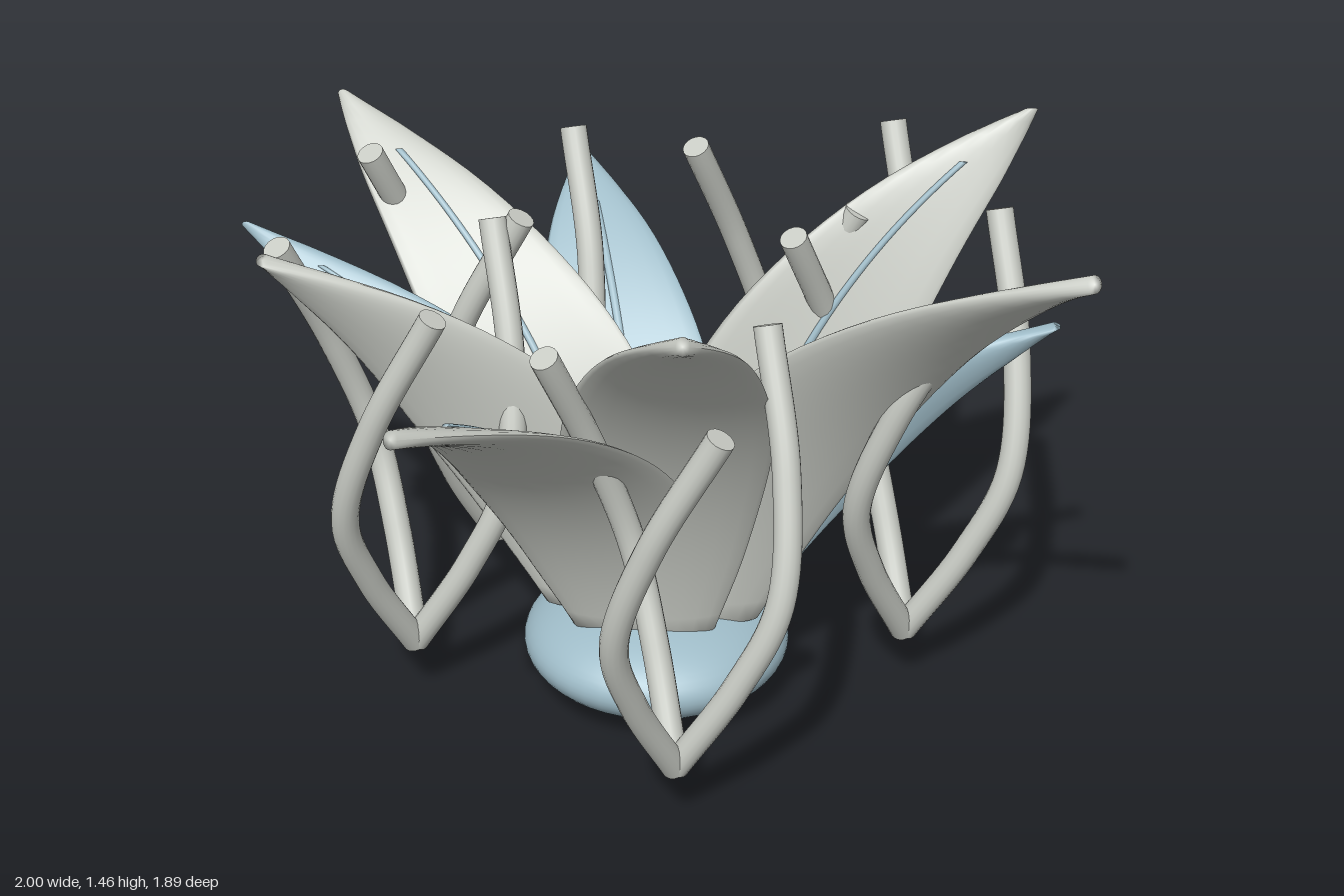
import * as THREE from 'three';
import { mergeGeometries } from 'three/addons/utils/BufferGeometryUtils.js';

const V = (x, y, z) => new THREE.Vector3(x, y, z);
const CENTRE = V(0.035, 0.135, -0.045);

// Leaf half-width along its length: [t, halfWidth]
const PROFILE = [[0, 0.13], [0.15, 0.195], [0.35, 0.24], [0.5, 0.235], [0.65, 0.2], [0.8, 0.145], [0.92, 0.075], [1, 0.015]];
const profileCurve = new THREE.SplineCurve(PROFILE.map(([t, w]) => new THREE.Vector2(t, w)));
const profilePoints = profileCurve.getPoints(120);
function leafWidth(t) {
  const i = profilePoints.findIndex((p) => p.x >= t);
  if (i < 1) return PROFILE[0][1];
  const a = profilePoints[i - 1], b = profilePoints[i];
  return a.y + (b.y - a.y) * (t - a.x) / (b.x - a.x);
}

// Sweeps a flattened oval along a curve; its wide axis always lies along x
function sweep(curve, { width, thick, lift = 0, cup = 0, t0 = 0, t1 = 1, rows = 28, sides = 20 }) {
  const X = V(1, 0, 0), positions = [], index = [];
  for (let i = -1; i <= rows + 1; i++) {
    const f = Math.min(Math.max(i / rows, 0), 1);
    const t = t0 + (t1 - t0) * f;
    const closed = i < 0 || i > rows ? 0 : 1; // end rings shrink to close the form
    const p = curve.getPoint(t);
    const N = curve.getTangent(t).cross(X).normalize();
    const w = width(t);
    for (let j = 0; j <= sides; j++) {
      const a = (j / sides) * Math.PI * 2;
      const x = Math.cos(a) * w * closed;
      const n = Math.sin(a) * thick * closed + lift + cup * (x / 0.24) ** 2;
      positions.push(p.x + x + N.x * n, p.y + N.y * n, p.z + N.z * n);
    }
  }
  const s = sides + 1;
  for (let i = 0; i < rows + 2; i++) {
    for (let j = 0; j < sides; j++) {
      const a = i * s + j;
      index.push(a, a + 1, a + s, a + 1, a + s + 1, a + s);
    }
  }
  const g = new THREE.BufferGeometry();
  g.setAttribute('position', new THREE.Float32BufferAttribute(positions, 3));
  g.setIndex(index);
  g.computeVertexNormals();
  return g;
}

// Leaf with a raised midrib on its upper side
function makeLeaf([x, y, z], scale, material, ribMaterial) {
  const tip = V(x, y, z);
  const out = V(x - CENTRE.x, 0, z - CENTRE.z).normalize();
  const start = V(CENTRE.x, 0.23, CENTRE.z).addScaledVector(out, 0.14);
  const span = tip.clone().sub(start);
  const bend = start.clone().add(V(span.x * 0.19, span.y * 0.69, span.z * 0.19));
  const curve = new THREE.QuadraticBezierCurve3(start, bend, tip);
  const side = z - CENTRE.z < -0.02 ? -1 : 1;

  const leaf = new THREE.Group();
  leaf.name = 'leaf';
  const blade = new THREE.Mesh(sweep(curve, {
    width: (t) => leafWidth(t) * scale, thick: 0.021, cup: 0.025 * side,
  }), material);
  blade.name = 'leafBlade';
  const rib = new THREE.Mesh(sweep(curve, {
    width: () => 0.01, thick: 0.006, lift: 0.022 * side, t0: 0.12, t1: 0.86, sides: 8,
  }), ribMaterial);
  rib.name = 'leafMidrib';
  leaf.add(blade, rib);
  return leaf;
}

// Curling stalk: tube with capped ends
function makeStalkGeometry() {
  const curve = new THREE.CatmullRomCurve3([
    V(0, 0.16, 0), V(-0.09, 0.4, 0.11), V(-0.13, 0.62, 0.195), V(-0.05, 0.9, 0.25), V(0.1, 1.2, 0.28),
  ]);
  const radius = 0.033;
  const parts = [new THREE.TubeGeometry(curve, 40, radius, 16)];
  for (const [t, sign] of [[0, -1], [1, 1]]) {
    const cap = new THREE.CircleGeometry(radius, 16);
    const dir = curve.getTangent(t).multiplyScalar(sign);
    cap.applyQuaternion(new THREE.Quaternion().setFromUnitVectors(V(0, 0, 1), dir));
    const p = curve.getPoint(t);
    cap.translate(p.x, p.y, p.z);
    parts.push(cap);
  }
  return mergeGeometries(parts);
}

export function createModel() {
  const model = new THREE.Group();
  model.name = 'plant';
  const grey = new THREE.MeshStandardMaterial({ color: 0xc9ccc5 });
  grey.name = 'paleGrey';
  const blue = new THREE.MeshStandardMaterial({ color: 0x9fbcc8 });
  blue.name = 'dustyBlue';

  // Flattened round base
  const base = new THREE.Mesh(new THREE.SphereGeometry(1, 48, 32), blue);
  base.name = 'base';
  base.scale.set(0.325, 0.131, 0.325);
  base.position.copy(CENTRE);
  model.add(base);

  // Ring of small nubs under the base
  const nubGeometry = new THREE.CylinderGeometry(0.012, 0.012, 0.03, 8);
  for (let i = 0; i < 10; i++) {
    const a = (i / 10) * Math.PI * 2;
    const nub = new THREE.Mesh(nubGeometry, blue);
    nub.name = 'baseNub';
    nub.position.set(CENTRE.x + Math.cos(a) * 0.13, 0.015, CENTRE.z + Math.sin(a) * 0.13);
    model.add(nub);
  }

  // Tall grey leaves and lower blue leaves, given by their tips
  const greyTips = [
    [-0.48, 1.24, 0.93], [0.12, 1.44, 0.87], [0.98, 1.44, 0.56],
    [0.9, 1.42, -0.36], [-0.78, 1.22, -0.81], [-0.86, 1.22, 0.1],
  ];
  const blueTips = [[-0.99, 1.01, -0.49], [-0.19, 1.01, -0.94], [0.72, 1.01, -0.94], [0.96, 1.01, -0.05]];
  for (const tip of greyTips) model.add(makeLeaf(tip, 1, grey, blue));
  for (const tip of blueTips) model.add(makeLeaf(tip, 0.88, blue, blue));

  // Five clusters of three curling stalks
  const stalkGeometry = makeStalkGeometry();
  for (const [x, z] of [[0.1, 0.55], [0.64, -0.05], [0.4, -0.53], [-0.39, -0.46], [-0.55, 0.05]]) {
    const cluster = new THREE.Group();
    cluster.name = 'stalkCluster';
    cluster.position.set(x, 0, z);
    for (let i = 0; i < 3; i++) {
      const stalk = new THREE.Mesh(stalkGeometry, grey);
      stalk.name = 'stalk';
      stalk.rotation.y = (i * Math.PI * 2) / 3;
      cluster.add(stalk);
    }
    model.add(cluster);
  }
  return model;
}
